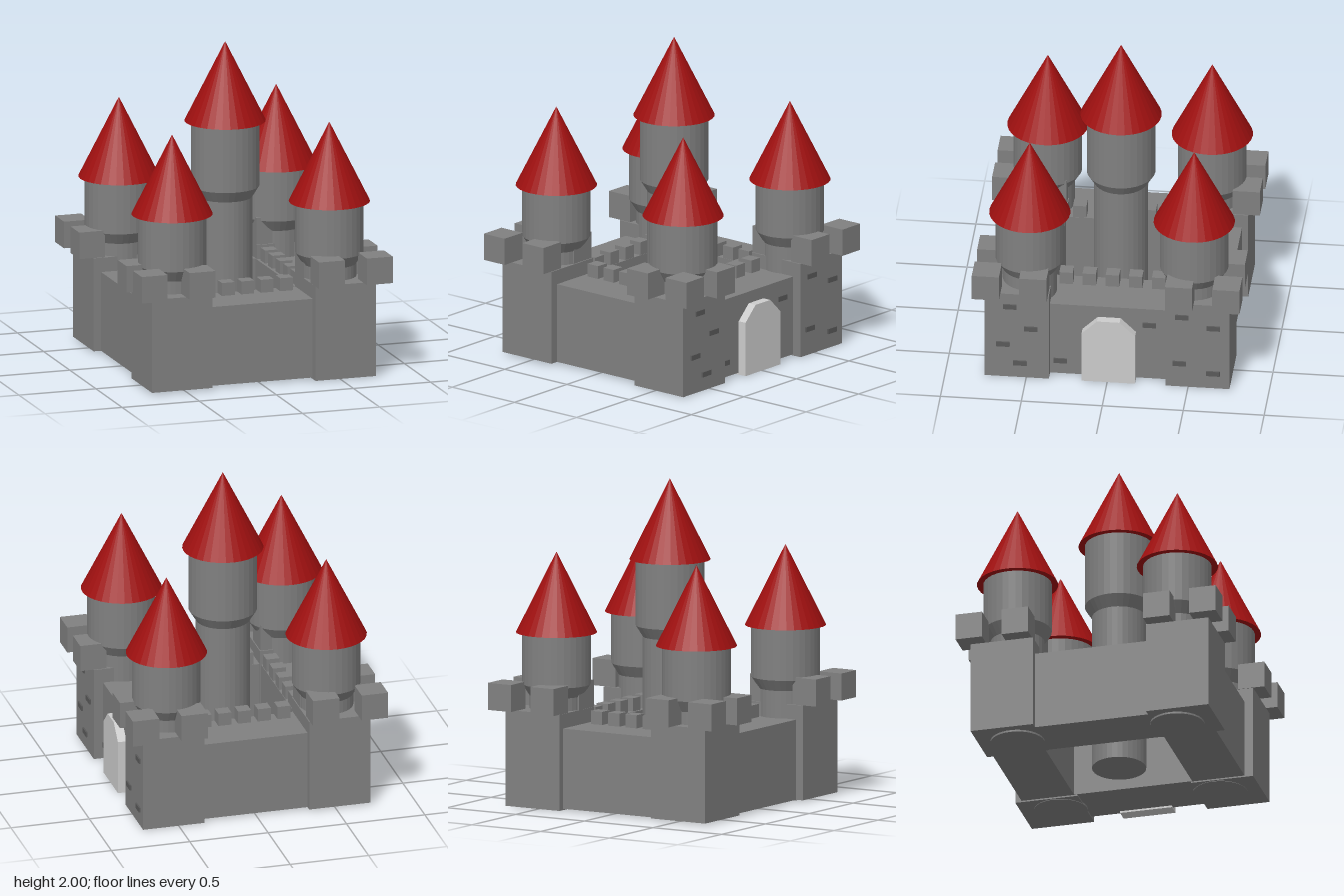
import * as THREE from 'three';

const stone = new THREE.MeshStandardMaterial({ color: 0x808080, flatShading: true });
const brickMat = new THREE.MeshStandardMaterial({ color: 0x5a5a5a });
const gateMat = new THREE.MeshStandardMaterial({ color: 0xcccccc, flatShading: true });
const roofMat = new THREE.MeshStandardMaterial({ color: 0xa01010, flatShading: true });

function add(parent, name, geometry, material, x = 0, y = 0, z = 0) {
  const mesh = new THREE.Mesh(geometry, material);
  mesh.name = name;
  mesh.position.set(x, y, z);
  parent.add(mesh);
  return mesh;
}

// Box given by its minimum and maximum corners
function block(parent, name, [x0, y0, z0], [x1, y1, z1], material = stone) {
  return add(parent, name, new THREE.BoxGeometry(x1 - x0, y1 - y0, z1 - z0), material,
    (x0 + x1) / 2, (y0 + y1) / 2, (z0 + z1) / 2);
}

// Round tower: narrow shaft, flared collar, wider drum and conical roof
function roundTower(name, x, z, flareY, eavesY) {
  const tower = new THREE.Group();
  tower.name = name;
  tower.position.set(x, 0, z);
  const profile = [[0, 0], [0.167, 0], [0.167, flareY], [0.211, flareY + 0.07], [0.211, eavesY], [0, eavesY]]
    .map(([r, y]) => new THREE.Vector2(r, y));
  add(tower, 'towerShaft', new THREE.LatheGeometry(profile, 32), stone);
  add(tower, 'towerRoof', new THREE.ConeGeometry(0.25, 0.5, 32), roofMat, 0, eavesY + 0.25, 0);
  return tower;
}

export function createModel() {
  const castle = new THREE.Group();
  castle.name = 'castle';

  // Central keep
  castle.add(roundTower('keep', 0.01, -0.008, 1.02, 1.5));

  // Corner towers: square base, four big merlons, round turret
  for (const sx of [-1, 1]) {
    for (const sz of [-1, 1]) {
      const corner = new THREE.Group();
      corner.name = 'cornerTower';
      const bx = sx * 0.53 + 0.003, bz = sz * 0.558;
      const y0 = sx > 0 ? 0.003 : 0.012;
      block(corner, 'towerBase', [bx - 0.196, y0, bz - 0.198], [bx + 0.196, 0.6, bz + 0.198]);
      for (const mx of [0.42, 0.73]) {
        for (const mz of [0.45, 0.743]) {
          add(corner, 'towerMerlon', new THREE.BoxGeometry(0.168, 0.168, 0.168), stone, sx * mx, 0.685, sz * mz);
        }
      }
      corner.add(roundTower('turret', sx * 0.51 + 0.003, sz * 0.508 - 0.007, 0.68, 1.07));
      castle.add(corner);
    }
  }

  // Curtain walls around the open courtyard
  block(castle, 'frontWall', [-0.335, 0.012, 0.37], [0.34, 0.51, 0.702]);
  block(castle, 'backWall', [-0.335, 0.012, -0.717], [0.34, 0.51, -0.382]);
  block(castle, 'leftWall', [0.333, 0.012, -0.382], [0.67, 0.51, 0.37]);
  block(castle, 'rightWall', [-0.675, 0.012, -0.382], [-0.338, 0.51, 0.37]);

  // Small merlons along the inner edges of the walls
  const small = new THREE.BoxGeometry(0.083, 0.083, 0.083);
  for (let i = -2; i <= 2; i++) {
    add(castle, 'frontMerlon', small, stone, i * 0.126, 0.55, 0.413);
    add(castle, 'backMerlon', small, stone, i * 0.126, 0.55, -0.426);
    add(castle, 'leftMerlon', small, stone, 0.39, 0.55, i * 0.143);
    add(castle, 'rightMerlon', small, stone, -0.382, 0.55, i * 0.143);
  }

  // Gate with a chamfered top, on the +x wall
  const outline = new THREE.Shape([[-0.165, 0], [0.165, 0], [0.165, 0.342], [0.07, 0.435], [-0.07, 0.435], [-0.165, 0.342]]
    .map(([x, y]) => new THREE.Vector2(x, y)));
  const gate = add(castle, 'gate', new THREE.ExtrudeGeometry(outline, { depth: 0.085, bevelEnabled: false }),
    gateMat, 0.64, 0, -0.007);
  gate.rotation.y = Math.PI / 2;

  // Raised bricks on the gate side: z, y, wall face x
  const towerX = 0.729, wallX = 0.67;
  const bricks = [
    [0.6, 0.51, towerX], [0.47, 0.357, towerX], [0.645, 0.238, towerX], [0.54, 0.107, towerX],
    [0.295, 0.104, wallX], [-0.255, 0.397, wallX],
    [-0.463, 0.505, towerX], [-0.657, 0.437, towerX], [-0.446, 0.17, towerX], [-0.655, 0.11, towerX],
  ];
  for (const [z, y, x] of bricks) {
    add(castle, 'brick', new THREE.BoxGeometry(0.02, 0.032, 0.083), brickMat, x, y, z);
  }

  return castle;
}
